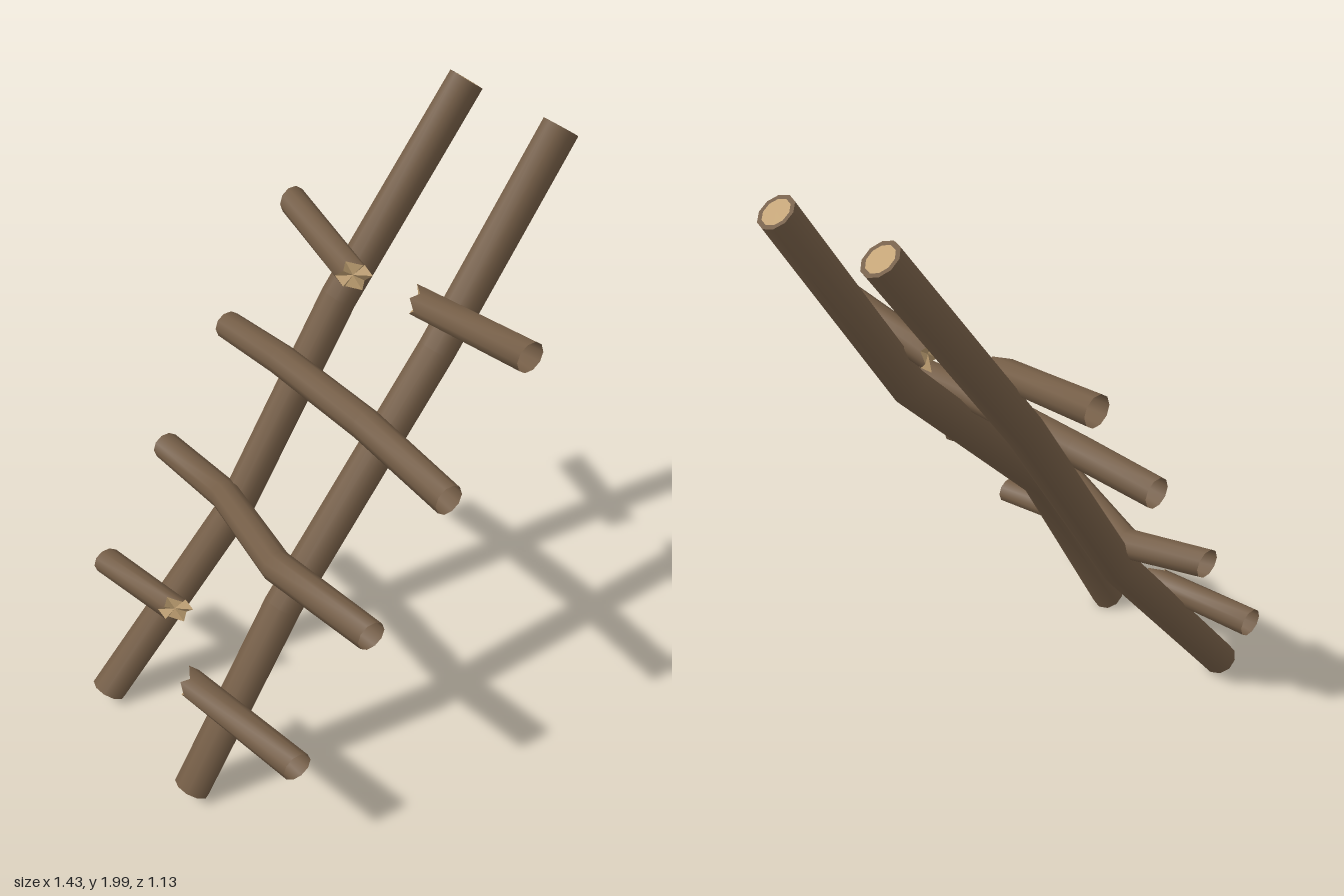
import * as THREE from 'three';

const SIDES = 10;
const bark = new THREE.MeshStandardMaterial({ color: 0x735c45, side: THREE.DoubleSide });
bark.name = 'bark';
const wood = new THREE.MeshStandardMaterial({ color: 0xc2a274, side: THREE.DoubleSide });
wood.name = 'cutWood';

// Lengthwise offsets round a splintered end
const JAG = [0.03, 0, 0.02, -0.03, -0.01, -0.04, -0.01, -0.03, 0.02, 0];

const vec = (p) => new THREE.Vector3(...p);

function addMesh(group, geometry, material, name) {
  const mesh = new THREE.Mesh(geometry, material);
  mesh.name = name;
  group.add(mesh);
  return mesh;
}

function makeGeometry(points, index) {
  const geo = new THREE.BufferGeometry().setFromPoints(points);
  geo.setIndex(index);
  geo.computeVertexNormals();
  return geo;
}

// Crooked pole: parallel rings set along a bent path, optionally splintered at the far end
function makePole(name, path, radii, axis, broken) {
  const group = new THREE.Group();
  group.name = name;
  const u = new THREE.Vector3(1, 0, 0).addScaledVector(axis, -axis.x).normalize();
  const v = axis.clone().cross(u);
  const points = [];
  const index = [];
  path.forEach((p, i) => {
    for (let j = 0; j < SIDES; j++) {
      const a = (j / SIDES) * Math.PI * 2;
      const q = vec(p).addScaledVector(u, Math.cos(a) * radii[i]).addScaledVector(v, Math.sin(a) * radii[i]);
      if (broken && i === path.length - 1) q.addScaledVector(axis, JAG[j]);
      points.push(q);
      if (i === 0) continue;
      const k = (j + 1) % SIDES;
      const lo = (i - 1) * SIDES;
      const hi = i * SIDES;
      index.push(lo + j, lo + k, hi + j, lo + k, hi + k, hi + j);
    }
  });
  addMesh(group, makeGeometry(points, index), bark, name + 'Bark');

  // Pale faceted splinters
  if (broken) {
    const rim = points.slice(-SIDES);
    const centre = vec(path[path.length - 1]).addScaledVector(axis, -0.01);
    const fan = rim.flatMap((p, j) => [p, rim[(j + 1) % SIDES], centre]);
    addMesh(group, makeGeometry(fan, fan.map((_, i) => i)), wood, name + 'Splinters');
  }
  return { group, u, v };
}

// Sawn end: pale disc inside a rim of bark
function addSawnEnd(pole, name, position, radius, axis, flip) {
  const end = new THREE.Group();
  end.name = name;
  addMesh(end, new THREE.CircleGeometry(radius * 0.76, SIDES), wood, name + 'Wood');
  addMesh(end, new THREE.RingGeometry(radius * 0.76, radius, SIDES), bark, name + 'Rim');
  end.quaternion.setFromRotationMatrix(new THREE.Matrix4().makeBasis(pole.u, pole.v, axis));
  if (flip) end.rotateY(Math.PI);
  end.position.copy(vec(position));
  pole.group.add(end);
}

export function createModel() {
  const ladder = new THREE.Group();
  ladder.name = 'brokenLadder';

  // Leaning side rails
  const rails = {
    frontRail: [[-0.67, 0.042, 0.18], [-0.335, 0.69, 0.23], [0.29, 1.33, 0.155], [0.665, 1.967, 0.208]],
    backRail: [[-0.67, 0.042, -0.355], [-0.18, 0.66, -0.275], [0.23, 1.33, -0.26], [0.665, 1.967, -0.205]],
  };
  for (const [name, path] of Object.entries(rails)) {
    const axis = vec(path[3]).sub(vec(path[0])).normalize();
    const pole = makePole(name, path, [0.06, 0.06, 0.06, 0.058], axis, false);
    addSawnEnd(pole, name + 'Top', path[3], 0.058, axis, false);
    addSawnEnd(pole, name + 'Foot', path[0], 0.06, axis, true);
    ladder.add(pole.group);
  }

  // Whole hollow rungs, running from back to front
  const forward = new THREE.Vector3(0, 0, 1);
  const rungs = {
    lowerRung: [[-0.26, 0.775, -0.567], [-0.215, 0.73, -0.28], [-0.33, 0.815, 0.19], [-0.26, 0.78, 0.567]],
    upperRung: [[0.005, 1.155, -0.567], [0.015, 1.172, -0.27], [0.013, 1.18, 0.17], [0.005, 1.155, 0.567]],
  };
  for (const [name, path] of Object.entries(rungs)) {
    ladder.add(makePole(name, path, [0.048, 0.051, 0.051, 0.048], forward, false).group);
  }

  // Snapped rung stubs, running from the outer end inward
  const stubs = {
    bottomFrontStub: [[-0.525, 0.4, 0.567], [-0.6, 0.405, 0.09]],
    bottomBackStub: [[-0.525, 0.4, -0.567], [-0.47, 0.415, -0.2]],
    topFrontStub: [[0.27, 1.53, 0.567], [0.28, 1.46, 0.065]],
    topBackStub: [[0.27, 1.53, -0.567], [0.21, 1.465, -0.15]],
  };
  for (const [name, path] of Object.entries(stubs)) {
    const axis = new THREE.Vector3(0, 0, -Math.sign(path[0][2]));
    ladder.add(makePole(name, path, [0.048, 0.046], axis, true).group);
  }
  return ladder;
}
